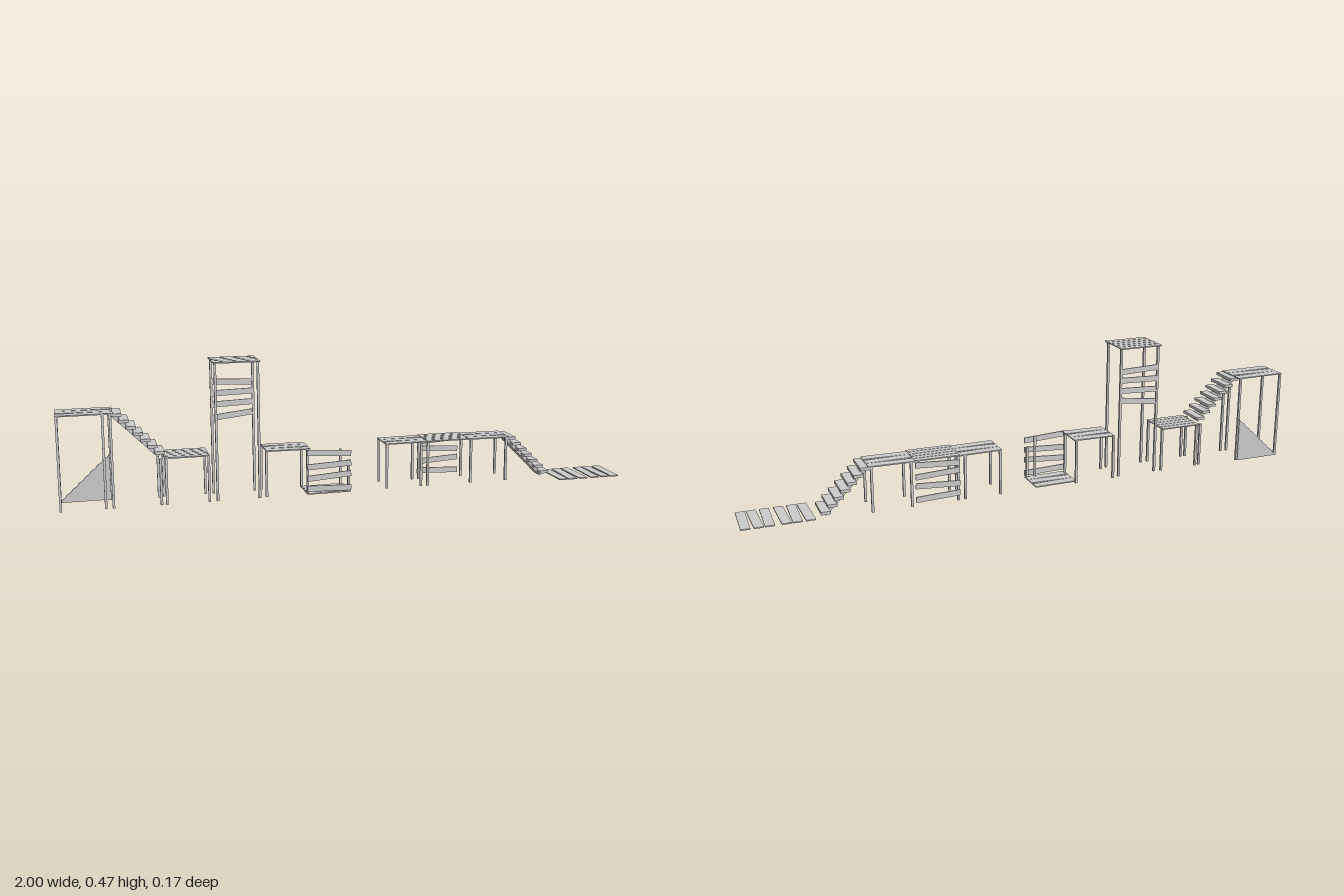
import * as THREE from 'three';

const material = new THREE.MeshStandardMaterial({ color: 0xcccccc, flatShading: true });

function box(parent, name, size, position, rotation = [0, 0, 0]) {
  const mesh = new THREE.Mesh(new THREE.BoxGeometry(...size), material);
  mesh.name = name;
  mesh.position.set(...position);
  mesh.rotation.set(...rotation);
  parent.add(mesh);
  return mesh;
}

function part(parent, name) {
  const group = new THREE.Group();
  group.name = name;
  parent.add(group);
  return group;
}

// Row of planks along x, each yawed a little by its entry in tilts
function deck(parent, x0, x1, y, z0, z1, tilts) {
  const pitch = (z1 - z0) / tilts.length;
  tilts.forEach((tilt, i) => box(parent, 'deckPlank',
    [x1 - x0, 0.004, pitch * 0.87],
    [(x0 + x1) / 2, y - 0.002, z0 + pitch * (i + 0.5)], [0, tilt, 0]));
}

// Square posts from a list of [x, z]
function posts(parent, height, spots) {
  for (const [x, z] of spots) box(parent, 'post', [0.008, height, 0.008], [x, height / 2, z]);
}

// Upright row of rails, each [y, tilt]
function fence(parent, x0, x1, z, rails) {
  for (const [y, tilt] of rails) {
    box(parent, 'fenceRail', [x1 - x0, 0.02, 0.005], [(x0 + x1) / 2, y, z], [0, 0, tilt]);
  }
}

// Seven treads on one sloping centre board, descending towards +x
function stairs(parent, x0, yTop, z) {
  const group = part(parent, 'stairs');
  const step = 0.0225;
  for (let i = 0; i < 7; i++) {
    box(group, 'tread', [0.032, 0.01, 0.1], [x0 + step * (i + 0.55), yTop - 0.008 - 0.0224 * i, z]);
  }
  box(group, 'slopingBoard', [0.205, 0.012, 0.048],
    [x0 + 0.074, yTop - 0.085, z], [0, 0, -Math.PI / 4]);
}

const LOOSE = [0.03, -0.02, 0.025];
const STRAIGHT = [0, 0, 0, 0, 0];

export function createModel() {
  const model = new THREE.Group();
  model.name = 'woodenWalkway';

  // High platform at the far right end
  const high = part(model, 'highPlatform');
  deck(high, -1, -0.815, 0.32, -0.081, 0.043, LOOSE);
  posts(high, 0.316, [[-0.995, 0.036], [-0.995, -0.074], [-0.85, 0.036], [-0.825, 0.036], [-0.825, -0.074]]);

  // Panel with a jagged sloping top behind the high platform
  const outline = new THREE.Shape();
  outline.moveTo(-0.995, 0);
  for (let i = 0; i < 8; i++) {
    const x = -0.995 + 0.021 * i;
    outline.lineTo(x, 0.006 + 0.0195 * i);
    outline.lineTo(x + 0.014, 0.014 + 0.0195 * i);
  }
  outline.lineTo(-0.827, 0.163);
  outline.lineTo(-0.827, 0);
  const panel = new THREE.Mesh(
    new THREE.ExtrudeGeometry(outline, { depth: 0.005, bevelEnabled: false }), material);
  panel.name = 'slopingPanel';
  panel.position.z = -0.081;
  high.add(panel);

  stairs(model, -0.817, 0.32, -0.015);

  // Low platform below the upper stairs
  const low = part(model, 'lowPlatform');
  deck(low, -0.655, -0.505, 0.162, -0.081, 0.045, STRAIGHT);
  posts(low, 0.158, [[-0.668, 0.036], [-0.668, -0.066], [-0.65, 0.036], [-0.65, -0.07], [-0.508, 0.036], [-0.508, -0.07]]);

  // Tower with a railed back
  const tower = part(model, 'tower');
  deck(tower, -0.487, -0.33, 0.475, -0.084, 0.053, STRAIGHT);
  posts(tower, 0.471, [[-0.48, 0.035], [-0.48, -0.068], [-0.336, 0.035], [-0.336, -0.068]]);
  fence(tower, -0.48, -0.336, -0.068, [[0.275, 0.12], [0.316, 0.04], [0.354, 0.03], [0.39, -0.04]]);

  // Middle platform
  const middle = part(model, 'middlePlatform');
  deck(middle, -0.31, -0.157, 0.162, -0.083, 0.033, [-0.03, 0.02, -0.025]);
  posts(middle, 0.158, [[-0.31, 0.025], [-0.31, -0.075], [-0.166, 0.025], [-0.166, -0.075]]);

  // Ground landing with a leaning front fence
  const landing = part(model, 'landing');
  deck(landing, -0.17, -0.015, 0.005, -0.07, 0.043, LOOSE);
  fence(landing, -0.17, -0.015, 0.042, [[0.145, -0.06], [0.102, 0.05], [0.063, 0.07], [0.02, -0.03]]);
  posts(landing, 0.156, [[-0.052, 0.034]]);
  posts(landing, 0.115, [[-0.022, 0.034]]);

  // Long walkway of three decks
  const walkway = part(model, 'walkway');
  deck(walkway, 0.115, 0.268, 0.162, -0.082, 0.031, LOOSE);
  deck(walkway, 0.268, 0.423, 0.164, -0.085, 0.034, STRAIGHT);
  deck(walkway, 0.423, 0.58, 0.162, -0.082, 0.031, [-0.025, 0.02, -0.03]);
  for (const x of [0.12, 0.247, 0.272, 0.435, 0.57]) {
    posts(walkway, 0.158, [[x, 0.025], [x, -0.075]]);
  }
  fence(walkway, 0.268, 0.423, -0.082, [[0.142, 0.06], [0.108, -0.05], [0.068, 0.06], [0.027, -0.04]]);

  stairs(model, 0.578, 0.162, -0.025);

  // Loose boards laid across the ground
  const ground = part(model, 'groundBoards');
  const tilts = [0.025, -0.03, 0.02, -0.025, 0.03, -0.02];
  tilts.forEach((tilt, i) => box(ground, 'groundBoard', [0.032, 0.004, 0.155],
    [0.776 + 0.039 * i + (i > 2 ? 0.011 : 0), 0.002, 0.005], [0, tilt, 0]));

  return model;
}
